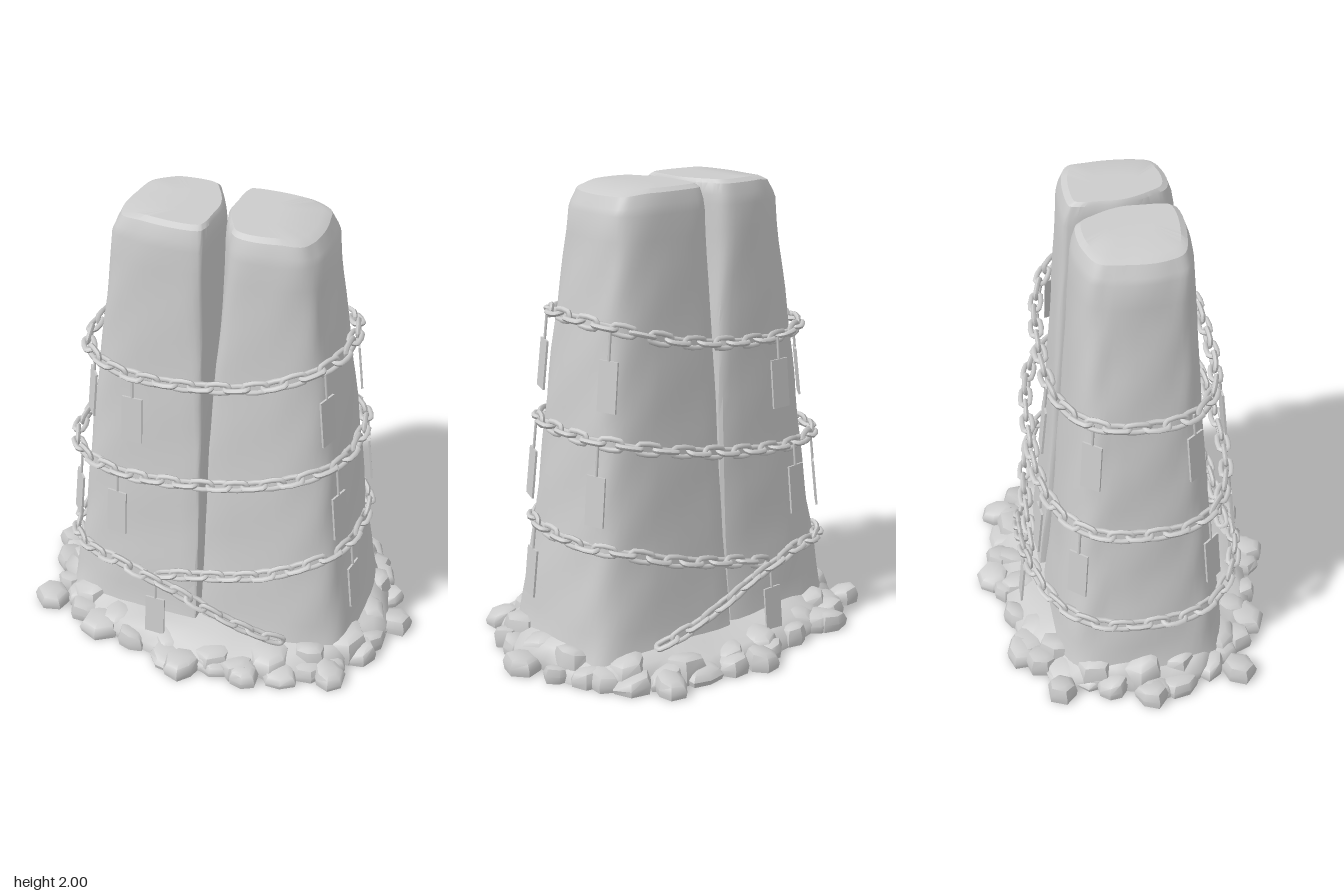
import * as THREE from 'three';
import { mergeGeometries, toCreasedNormals } from 'three/addons/utils/BufferGeometryUtils.js';

const stone = new THREE.MeshStandardMaterial({ color: 0xcccccc });
stone.name = 'grey stone';

let seed = 7;
const rand = () => (seed = (seed * 16807) % 2147483647) / 2147483647;
const spread = (a, b) => a + (b - a) * rand();
const signedPow = (v, e) => Math.sign(v) * Math.abs(v) ** e;

function add(parent, name, geometry) {
  const mesh = new THREE.Mesh(geometry, stone);
  mesh.name = name;
  parent.add(mesh);
  return mesh;
}

// Linear lookup in a short list of [key, value, ...] rows
function lookup(rows, key, col = 1) {
  let i = 0;
  while (i < rows.length - 2 && key > rows[i + 1][0]) i++;
  const [a, b] = [rows[i], rows[i + 1]];
  const t = THREE.MathUtils.clamp((key - a[0]) / (b[0] - a[0]), 0, 1);
  return a[col] + (b[col] - a[col]) * t;
}

// Skin a stack of equal loops and close the top at a point
function loft(rings, top) {
  const n = rings[0].length, pos = [], idx = [];
  rings.forEach(r => r.forEach(p => pos.push(p.x, p.y, p.z)));
  pos.push(top.x, top.y, top.z);
  for (let r = 0; r < rings.length; r++) {
    for (let i = 0; i < n; i++) {
      const a = r * n + i, b = r * n + (i + 1) % n;
      if (r < rings.length - 1) idx.push(a, a + n, b, b, a + n, b + n);
      else idx.push(a, rings.length * n, b);
    }
  }
  const g = new THREE.BufferGeometry();
  g.setAttribute('position', new THREE.Float32BufferAttribute(pos, 3));
  g.setIndex(idx);
  g.computeVertexNormals();
  return g;
}

// Half of the split monolith: rows are height, half width, half depth, notch openness
const taper = [[0, 0.71, 0.41, 0.05], [0.1, 0.68, 0.385, 0.05], [0.5, 0.62, 0.335, 0.1], [1, 0.56, 0.295, 0.2],
  [1.4, 0.51, 0.265, 0.4], [1.8, 0.452, 0.24, 0.85], [2, 0.43, 0.23, 1]];
const outline = [[-1, -0.45], [-0.91, -0.82], [-0.64, -0.98], [-0.27, -0.96], [-0.13, -0.65], [0, -0.08],
  [0.005, 0.4], [-0.01, 0.85], [-0.06, 0.99], [-0.58, 1], [-0.9, 0.84], [-1, 0.45]];

function pillarGeometry(phase) {
  const section = new THREE.CatmullRomCurve3(
    outline.map(([u, v]) => new THREE.Vector3(u, 0, v)), true, 'centripetal').getPoints(60).slice(0, 60);
  const ring = (y, s) => {
    const w = lookup(taper, y, 1), d = lookup(taper, y, 2), open = lookup(taper, y, 3);
    const gap = 0.012 * Math.max(0, (y - 1.2) / 0.8);
    return section.map((p, i) => {
      const inner = THREE.MathUtils.smoothstep(p.x, -0.6, -0.2);
      const u = p.x * (1 - inner * (1 - open));
      const dent = 1 + 0.009 * Math.sin(i * 0.65 + y * 5 + phase) * Math.sin(y * 11 + i * 0.3 + phase);
      const x = (-0.25 + (u + 0.25) * s) * w * (u < -0.5 ? dent : 1) - gap * inner;
      const sag = s < 1 ? 0.11 * (s - 0.4) * Math.max(0, -u - 0.75) : 0;
      return new THREE.Vector3(x, y - sag, p.z * s * d * dent);
    });
  };
  const rings = [];
  for (let i = 0; i <= 19; i++) rings.push(ring(i * 0.1, 1));
  rings.push(ring(1.94, 0.98), ring(1.985, 0.92), ring(2, 0.82), ring(2, 0.4));
  return toCreasedNormals(loft(rings, new THREE.Vector3(-0.17, 2, 0)), 0.5);
}

// One oval chain link, long along x
function linkGeometry() {
  const g = new THREE.TorusGeometry(0.023, 0.0115, 6, 12);
  const p = g.attributes.position;
  for (let i = 0; i < p.count; i++) p.setX(i, p.getX(i) + 0.025 * Math.tanh(p.getX(i) * 200));
  g.computeVertexNormals();
  return g;
}

// A point on a chain's rounded path around the pillars
function chainPoint(c, angle) {
  const x = c.cx + c.ax * signedPow(Math.cos(angle), 0.75), z = c.az * signedPow(Math.sin(angle), 0.75);
  return new THREE.Vector3(x, lookup(c.heights, x), z);
}

function chainGeometry(c) {
  const closed = c.to - c.from > 6.28, pts = [], steps = 40;
  for (let i = 0; i < steps + (closed ? 0 : 1); i++) pts.push(chainPoint(c, c.from + (c.to - c.from) * i / steps));
  const curve = new THREE.CatmullRomCurve3(pts, closed);
  const count = 2 * Math.round(curve.getLength() / 0.077 / 2);
  const links = [], up = new THREE.Vector3(0, 1, 0);
  for (let i = 0; i < count; i++) {
    const u = (i + 0.5) / count, t = curve.getTangentAt(u);
    const out = new THREE.Vector3().crossVectors(t, up).normalize();
    const m = new THREE.Matrix4().makeBasis(t, new THREE.Vector3().crossVectors(out, t), out);
    m.setPosition(curve.getPointAt(u));
    links.push(linkGeometry().rotateX((i % 2) * Math.PI / 2 + spread(-0.25, 0.25)).applyMatrix4(m));
  }
  return mergeGeometries(links);
}

// A thin plate on a rod, hung from a chain, turned outward and leaning along the taper
function addTag(parent, x, z, chainY, drop, yaw) {
  const tag = new THREE.Group();
  tag.name = 'hangingTag';
  add(tag, 'tagRod', new THREE.CylinderGeometry(0.006, 0.006, drop, 5).translate(0, -drop / 2, 0));
  add(tag, 'tagPlate', new THREE.BoxGeometry(0.09, 0.21, 0.009).translate(0, -drop - 0.1, 0));
  tag.position.set(x, chainY, z);
  tag.rotation.set(-0.11, yaw, 0, 'YXZ');
  parent.add(tag);
}

// Closed, flat-bottomed cobble with an irregular six or seven sided outline
function rockGeometry(x, z, size, height) {
  const n = rand() < 0.5 ? 6 : 7, turn = rand() * 6;
  const radii = Array.from({ length: n }, () => size * spread(0.8, 1.1));
  const tiltX = spread(-0.25, 0.25), tiltZ = spread(-0.25, 0.25);
  const rings = [[0.01, 0], [0.95, 0], [1.02, 0.45], [0.82, 0.9], [0.5, 1.03]].map(([s, h]) => radii.map((r, i) => {
    const t = turn + i / n * Math.PI * 2, dx = r * s * Math.cos(t), dz = r * s * Math.sin(t);
    return new THREE.Vector3(x + dx, h * (height + dx * tiltX + dz * tiltZ), z + dz);
  }));
  return toCreasedNormals(loft(rings, new THREE.Vector3(x, height * 1.06, z)), 0.75);
}

// A point on the squarish oval of the base
function basePoint(a, b, t, y = 0) {
  return new THREE.Vector3(a * signedPow(Math.cos(t), 0.88), y, b * signedPow(Math.sin(t), 0.88));
}

export function createModel() {
  const model = new THREE.Group();
  model.name = 'chainedMonolith';

  // Two matching halves, turned about the split
  add(model, 'rightPillar', pillarGeometry(0)).position.x = -0.01;
  const left = add(model, 'leftPillar', pillarGeometry(2));
  left.rotation.y = Math.PI;
  left.position.x = -0.015;

  // Earth mound, higher at the two ends, with a flat underside
  const mound = [[0.77, 0.575, 0], [0.77, 0.575, 0.05], [0.72, 0.52, 0.085], [0.67, 0.45, 0.11], [0.6, 0.33, 0.14]];
  const rings = mound.map(([a, b, y], k) => Array.from({ length: 56 }, (_, i) => {
    const t = i / 56 * Math.PI * 2, w = 1 + 0.02 * Math.sin(t * 9 + k) + 0.015 * Math.sin(t * 14);
    const rise = 0.88 + 0.25 * Math.cos(t) ** 2 + 0.08 * Math.sin(t * 7 + k);
    return basePoint(a * w, b * w, t, y * rise);
  }));
  add(model, 'mound', loft(rings, new THREE.Vector3(0, 0.12, 0)));
  add(model, 'moundUnderside', new THREE.ShapeGeometry(new THREE.Shape(
    rings[0].map(p => new THREE.Vector2(p.x, p.z)))).rotateX(Math.PI / 2));

  // Cobbles: an outer ring, a taller inner ring and a few strays
  const rocks = [];
  for (let i = 0; i < 30; i++) {
    const r = spread(0.97, 1.03), p = basePoint(0.75 * r, 0.555 * r, (i + spread(-0.2, 0.2)) / 30 * Math.PI * 2);
    rocks.push(rockGeometry(p.x, p.z, spread(0.07, 0.095), spread(0.055, 0.075)));
  }
  for (let i = 0; i < 18; i++) {
    const t = (i + spread(-0.3, 0.3)) / 18 * Math.PI * 2, p = basePoint(0.69, 0.5, t);
    rocks.push(rockGeometry(p.x, p.z, spread(0.08, 0.11), spread(0.075, 0.095) + 0.04 * Math.cos(t) ** 2));
  }
  for (const [x, z] of [[-0.81, 0], [0.81, 0], [-0.72, -0.38], [-0.73, 0.4], [0, -0.61], [0, 0.6],
    [0.45, -0.55], [-0.48, -0.53], [0.28, 0.56], [0.63, 0.43]])
    rocks.push(rockGeometry(x, z, 0.08, 0.07));
  add(model, 'cobbles', mergeGeometries(rocks));

  // Chains: two full loops, and two low strands crossing front and back
  const full = { from: 0, to: Math.PI * 2 };
  const chains = {
    upperChain: { ...full, cx: -0.035, ax: 0.57, az: 0.355,
      heights: [[-0.6, 1.34], [-0.3, 1.335], [0, 1.36], [0.25, 1.405], [0.45, 1.465], [0.54, 1.49]] },
    middleChain: { ...full, cx: -0.045, ax: 0.635, az: 0.415,
      heights: [[-0.68, 0.84], [-0.3, 0.865], [0, 0.905], [0.3, 0.965], [0.5, 1.005], [0.6, 1.02]] },
    lowerChain: { from: -1.68, to: 1.68, cx: -0.045, ax: 0.67, az: 0.44,
      heights: [[-0.17, 0.37], [0, 0.42], [0.3, 0.49], [0.5, 0.55], [0.61, 0.565]] },
    groundChain: { from: 0.93, to: Math.PI * 2 - 0.93, cx: -0.045, ax: 0.65, az: 0.475,
      heights: [[-0.7, 0.34], [-0.55, 0.375], [-0.35, 0.405], [-0.1, 0.345], [0.15, 0.24], [0.42, 0.12]] },
  };
  for (const name in chains) add(model, name, chainGeometry(chains[name]));

  // Tags, mirrored front to back: x, z, chain height, rod length, yaw on the front side
  const tags = [[-0.29, 0.355, 1.34, 0.1, 0], [-0.53, 0.2, 1.32, 0.1, -0.9], [0.49, 0.22, 1.46, 0.12, 1.25],
    [-0.36, 0.4, 0.86, 0.1, -0.1], [-0.59, 0.27, 0.82, 0.12, -0.85], [0.56, 0.22, 1, 0.13, 1.25],
    [-0.17, 0.47, 0.36, 0.1, 0]];
  for (const [x, z, y, drop, yaw] of tags) {
    addTag(model, x, z, y, drop, yaw);
    addTag(model, x, -z, y, drop, Math.PI - yaw);
  }
  addTag(model, 0.625, 0.155, 0.56, 0.11, 1.4);
  return model;
}
